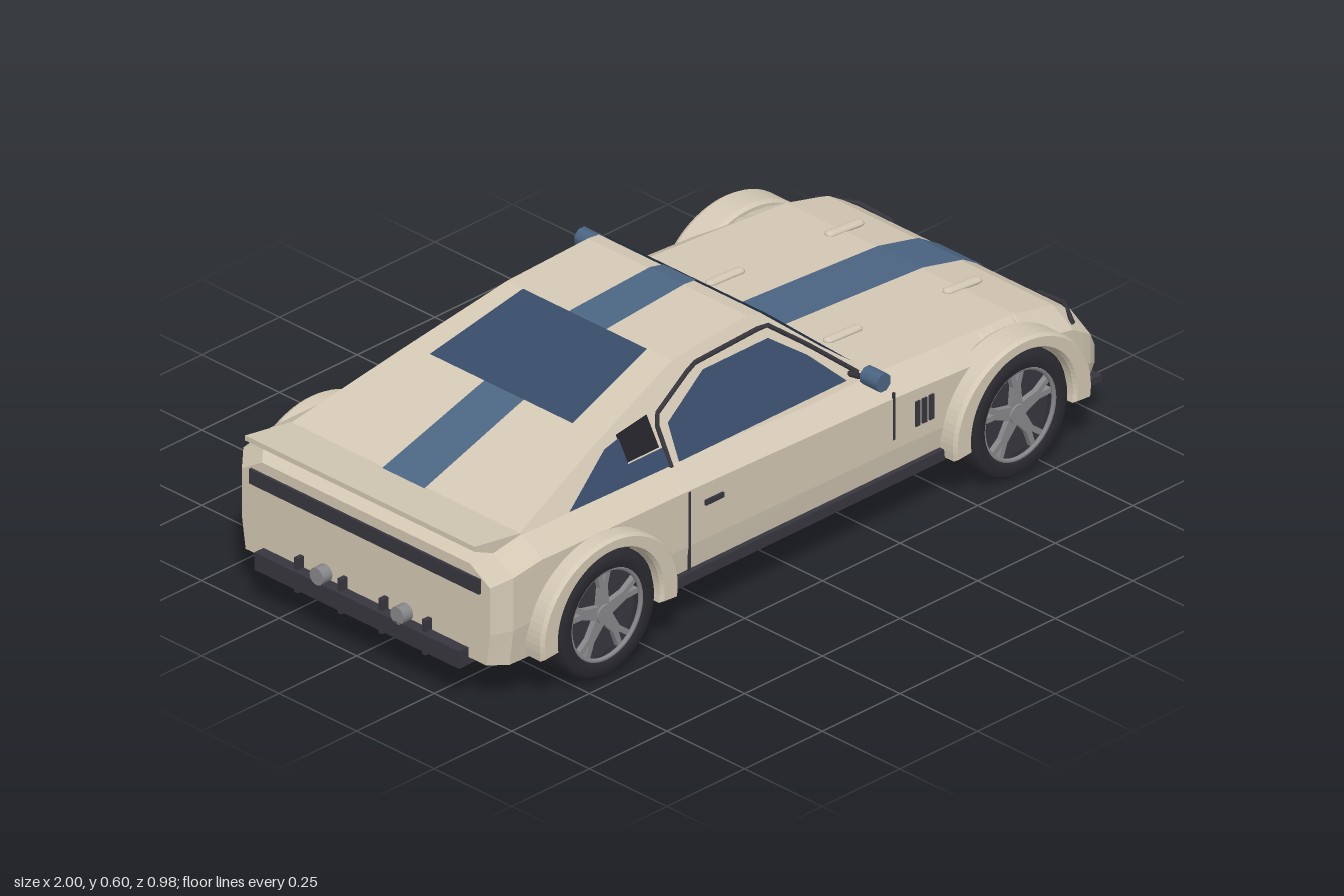
import * as THREE from 'three';

const mat = (name, color) => new THREE.MeshStandardMaterial({ name, color, side: THREE.DoubleSide });
const V = (x, y, z) => new THREE.Vector3(x, y, z);

// piecewise linear lookup through [x, value] pairs
function lerpTable(t, x) {
  for (let i = 1; i < t.length; i++) {
    const [x0, a] = t[i - 1], [x1, b] = t[i];
    if (x <= x1 || i === t.length - 1) return a + (b - a) * (x - x0) / (x1 - x0);
  }
}
const CX = 0.665, R = 0.17; // axle position and arch radius
const topY = x => lerpTable([[-0.97, 0.36], [-0.93, 0.385], [-0.84, 0.4], [-0.37, 0.395], [0.27, 0.378],
  [0.5, 0.365], [0.75, 0.35], [0.88, 0.32], [0.945, 0.28], [0.975, 0.235]], x);
const halfW = x => lerpTable([[-0.97, 0.4], [-0.93, 0.435], [-0.8, 0.44], [0.45, 0.44], [0.85, 0.43], [0.94, 0.42], [0.975, 0.4]], x);
const bottomY = x => {
  const d = Math.abs(x) - CX;
  return Math.abs(d) <= R ? 0.16 + Math.sqrt(Math.max(0, R * R - d * d)) : 0.115;
};
const cabinZ = y => 0.375 - (y - 0.39) * 0.58; // inward lean of the cabin sides
const ROOF = [[-0.85, 0.4], [-0.55, 0.495], [-0.25, 0.58], [0, 0.595], [0.04, 0.588], [0.28, 0.38]];

// faceted surface through rows of points
function sheet(rows) {
  const p = [], n = rows[0].length;
  const add = (...v) => v.forEach(q => p.push(q[0], q[1], q[2]));
  for (let i = 0; i + 1 < rows.length; i++) for (let j = 0; j + 1 < n; j++) {
    const a = rows[i][j], b = rows[i][j + 1], c = rows[i + 1][j + 1], d = rows[i + 1][j];
    add(a, b, c, a, c, d);
  }
  const g = new THREE.BufferGeometry();
  g.setAttribute('position', new THREE.Float32BufferAttribute(p, 3));
  g.computeVertexNormals();
  return g;
}
const shapeOf = pts => new THREE.Shape(pts.map(p => new THREE.Vector2(p[0], p[1])));
// flat outline laid on the leaning cabin side
function sidePlate(pts, off, holes = []) {
  const s = shapeOf(pts);
  s.holes = holes.map(shapeOf);
  const g = new THREE.ShapeGeometry(s), a = g.attributes.position;
  for (let i = 0; i < a.count; i++) a.setZ(i, cabinZ(a.getY(i)) + off);
  g.computeVertexNormals();
  return g;
}
function roundRect(w, h, r) {
  const s = new THREE.Shape(), x = w / 2, y = h / 2;
  s.absarc(x - r, y - r, r, 0, Math.PI / 2);
  s.absarc(-x + r, y - r, r, Math.PI / 2, Math.PI);
  s.absarc(-x + r, -y + r, r, Math.PI, Math.PI * 1.5);
  s.absarc(x - r, -y + r, r, Math.PI * 1.5, Math.PI * 2);
  return new THREE.ShapeGeometry(s, 5).rotateY(Math.PI / 2);
}
const tube = (pts, r) => {
  const path = new THREE.CurvePath();
  for (let i = 1; i < pts.length; i++) path.add(new THREE.LineCurve3(V(...pts[i - 1]), V(...pts[i])));
  return new THREE.TubeGeometry(path, 24, r, 6);
};

export function createModel() {
  const car = new THREE.Group();
  car.name = 'sportsCar';
  const cream = mat('cream paint', 0xd3c8b4), blue = mat('blue stripe', 0x4b6583), glass = mat('blue glass', 0x374b69);
  const dark = mat('dark trim', 0x37363e), black = mat('black underside', 0x222127), tyreMat = mat('tyre rubber', 0x2b2a30);
  const metal = mat('wheel metal', 0x88878a);

  const add = (name, geo, m, parent = car) => {
    const o = new THREE.Mesh(geo, m);
    o.name = name;
    parent.add(o);
    return o;
  };
  const box = (name, m, x0, x1, y0, y1, z0, z1, parent) =>
    add(name, new THREE.BoxGeometry(x1 - x0, y1 - y0, z1 - z0).translate((x0 + x1) / 2, (y0 + y1) / 2, (z0 + z1) / 2), m, parent);

  // everything in this group is mirrored to the other side
  const half = new THREE.Group();
  half.name = 'leftSide';

  // lower body lofted along the length, with wheel arches
  const xs = [-0.97, -0.93, -0.84, -0.37, 0, 0.27, 0.5, 0.75, 0.88, 0.92, 0.945, 0.975];
  for (const c of [-CX, CX]) {
    for (let k = 0; k <= 14; k++) xs.push(c + (R - 1e-6) * Math.cos(Math.PI * k / 14));
    xs.push(c - R - 0.001, c + R + 0.001);
  }
  xs.sort((a, b) => a - b);
  const section = x => {
    const b = bottomY(x), t = topY(x), w = halfW(x), s = Math.max(t - 0.04, b + 0.004);
    return [[x, b, w - 0.012], [x, b + (s - b) * 0.4, w], [x, s, w], [x, t, w - 0.065]];
  };
  add('bodySide', sheet(xs.map(section)), cream, half);
  const deck = (name, lo, hi) => add(name, sheet(xs.filter(x => x >= lo && x <= hi).map(x => {
    const [, y, z] = section(x)[3];
    return [[x, y, z], [x, y, -z]];
  })), cream);
  deck('hood', 0.27, 0.975);
  deck('rearDeck', -0.97, -0.84);
  for (const [name, x] of [['nosePanel', 0.975], ['tailPanel', -0.97]])
    add(name, sheet(section(x).map(([, y, z]) => [[x, y, z], [x, y, -z]])), cream);

  // cabin shell
  add('roof', sheet(ROOF.map(([x, y]) => [[x, y, cabinZ(y)], [x, y, -cabinZ(y)]])), cream);
  add('cabinSide', sidePlate([[-0.85, 0.38], ...ROOF], 0,
    [[[-0.48, 0.435], [-0.375, 0.435], [-0.375, 0.505], [-0.48, 0.495]]]), cream, half);
  add('doorWindow', sidePlate([[-0.34, 0.395], [0.2, 0.395], [0.12, 0.475], [0.03, 0.54], [-0.18, 0.54], [-0.33, 0.475]], 0.006), glass, half);
  add('quarterWindow', sidePlate([[-0.69, 0.4], [-0.37, 0.395], [-0.37, 0.435], [-0.48, 0.435], [-0.48, 0.49], [-0.53, 0.482]], 0.006), glass, half);
  add('doorFrame', tube([[-0.365, 0.39], [-0.36, 0.495], [-0.2, 0.558], [0.04, 0.565], [0.13, 0.495], [0.24, 0.4]]
    .map(([x, y]) => [x, y, cabinZ(y) + 0.004]), 0.006), dark, half);

  // windscreen and rear window
  add('windscreen', sheet([[0.052, 0.585, 0.262], [0.066, 0.573, 0.272], [0.283, 0.387, 0.31]]
    .map(([x, y, z]) => [[x, y, z], [x, y, -z]])), glass);
  add('rearWindow', sheet([[-0.535, 0.514, 0.23], [-0.265, 0.59, 0.2]].map(([x, y, z]) => [[x, y, z], [x, y, -z]])), glass);

  // centre stripe
  const stripe = (name, pts, w0, w1) => add(name, sheet(pts.map(([x, y], i) => {
    const w = w0 + (w1 - w0) * i / (pts.length - 1);
    return [[x, y + 0.004, w], [x, y + 0.004, -w]];
  })), blue);
  stripe('hoodStripe', [0.285, 0.5, 0.75, 0.88, 0.945, 0.957].map(x => [x, topY(x)]), 0.072, 0.072);
  stripe('roofStripe', ROOF.slice(0, 5), 0.068, 0.052);

  // tail spoiler
  add('spoiler', new THREE.ExtrudeGeometry(shapeOf([[-0.84, 0.402], [-0.99, 0.425], [-0.99, 0.412], [-0.93, 0.385], [-0.84, 0.385]]),
    { depth: 0.74, bevelEnabled: false }).translate(0, 0, -0.37), cream);

  // nose: grille, intakes, lamps, splitter
  add('grille', roundRect(0.42, 0.096, 0.03).translate(0.979, 0.168, 0), dark);
  for (const y of [0.145, 0.172, 0.197]) box('grilleBar', cream, 0.979, 0.985, y - 0.004, y + 0.004, -0.18, 0.18);
  add('sideIntake', roundRect(0.14, 0.052, 0.016).translate(0.979, 0.143, 0.31), dark, half);
  add('headlampSlit', tube([[0.96, 0.272, 0.235], [0.947, 0.287, 0.33], [0.89, 0.291, 0.415]], 0.006), dark, half);
  add('lowerLampSlit', tube([[0.965, 0.258, 0.23], [0.963, 0.258, 0.29]], 0.004), dark, half);
  box('splitter', dark, 0.86, 1, 0.09, 0.106, -0.4, 0.4);

  // tail: lamp bar, diffuser, exhausts
  box('tailLampBar', dark, -0.977, -0.968, 0.295, 0.333, -0.37, 0.37);
  box('diffuser', dark, -1, -0.82, 0.095, 0.14, -0.33, 0.33);
  for (const z of [0.06, 0.2]) box('diffuserFin', dark, -0.99, -0.85, 0.08, 0.17, z, z + 0.012, half);
  add('exhaust', new THREE.CylinderGeometry(0.022, 0.022, 0.05, 14).rotateZ(Math.PI / 2).translate(-0.975, 0.155, 0.13), metal, half);

  // underside
  box('frontFloor', black, 0.3, 0.95, 0.108, 0.118, -0.35, 0.35);
  box('rearFloor', black, -0.95, -0.48, 0.108, 0.118, -0.35, 0.35);
  box('middleFloor', black, -0.37, 0.28, 0.065, 0.085, -0.36, 0.36);
  box('floorBox', dark, -0.37, -0.15, 0.085, 0.122, -0.36, 0.36);
  box('sideSkirt', dark, -0.45, 0.45, 0.118, 0.146, 0.39, 0.446, half);

  // door seams, handle, fender vents, hood vents
  for (const x of [-0.368, 0.29]) box('doorSeam', dark, x - 0.003, x + 0.003, x > 0 ? 0.23 : 0.146, 0.352, 0.436, 0.442, half);
  box('doorHandle', dark, -0.32, -0.262, 0.299, 0.312, 0.438, 0.446, half);
  for (const x of [0.365, 0.387, 0.409]) box('fenderVent', dark, x - 0.007, x + 0.007, 0.238, 0.302, 0.436, 0.444, half);
  for (const x of [0.375, 0.76]) {
    const v = add('hoodVent', new THREE.CapsuleGeometry(0.014, 0.09, 4, 10).rotateZ(Math.PI / 2).scale(1, 0.6, 1), cream, half);
    v.position.set(x, topY(x) + 0.002, 0.19);
    v.rotation.z = x > 0.5 ? -0.08 : -0.05;
  }

  // door mirror
  add('mirror', new THREE.CylinderGeometry(0.024, 0.024, 0.055, 8).rotateX(Math.PI / 2).rotateZ(Math.PI / 8).translate(0.21, 0.428, 0.46), blue, half);
  add('mirrorStalk', tube([[0.21, 0.425, 0.435], [0.215, 0.41, 0.4], [0.22, 0.4, 0.36]], 0.007), dark, half);

  // flares, wheel wells and wheels
  const flare = new THREE.Shape();
  flare.absellipse(0, 0, 0.214, 0.194, -0.15, Math.PI + 0.15, false);
  flare.absarc(0, 0, 0.172, Math.PI + 0.15, -0.15, true);
  const flareGeo = new THREE.ExtrudeGeometry(flare, { depth: 0.065, bevelThickness: 0.01, bevelSize: 0.006, bevelSegments: 1, curveSegments: 20 });
  const tyreGeo = new THREE.LatheGeometry([[0.11, -0.055], [0.145, -0.057], [0.16, -0.045], [0.16, -0.01], [0.153, -0.008], [0.153, -0.002],
    [0.16, 0], [0.16, 0.042], [0.148, 0.057], [0.118, 0.057], [0.114, 0.045]].map(p => new THREE.Vector2(...p)), 40).rotateX(Math.PI / 2);
  const spokeGeo = new THREE.ExtrudeGeometry(shapeOf([[-0.018, 0.012], [0.018, 0.012], [0.012, 0.07], [0.024, 0.112], [0.01, 0.112],
    [0, 0.08], [-0.01, 0.112], [-0.024, 0.112], [-0.012, 0.07]]), { depth: 0.014, bevelEnabled: false });
  for (const [label, x] of [['front', CX], ['rear', -CX]]) {
    add(label + 'Flare', flareGeo, cream, half).position.set(x, 0.16, 0.41);
    add(label + 'WheelWell', new THREE.CylinderGeometry(0.169, 0.169, 0.1, 24, 1, true, 0, Math.PI)
      .rotateX(Math.PI / 2).rotateZ(Math.PI / 2), black, half).position.set(x, 0.16, 0.375);
    const wheel = new THREE.Group();
    wheel.name = label + 'Wheel';
    wheel.position.set(x, 0.16, 0.418);
    half.add(wheel);
    add('tyre', tyreGeo, tyreMat, wheel);
    add('wheelDisc', new THREE.CylinderGeometry(0.115, 0.115, 0.08, 32).rotateX(Math.PI / 2).translate(0, 0, -0.012), dark, wheel);
    add('rim', new THREE.TorusGeometry(0.114, 0.006, 6, 36).translate(0, 0, 0.048), metal, wheel);
    add('hub', new THREE.CylinderGeometry(0.024, 0.028, 0.03, 16).rotateX(Math.PI / 2).translate(0, 0, 0.034), metal, wheel);
    for (let k = 0; k < 5; k++) {
      const s = add('spoke', spokeGeo, metal, wheel);
      s.position.z = 0.03;
      s.rotation.z = k * Math.PI * 2 / 5;
    }
  }

  const other = half.clone(true);
  other.name = 'rightSide';
  other.scale.z = -1;
  car.add(half, other);
  return car;
}
